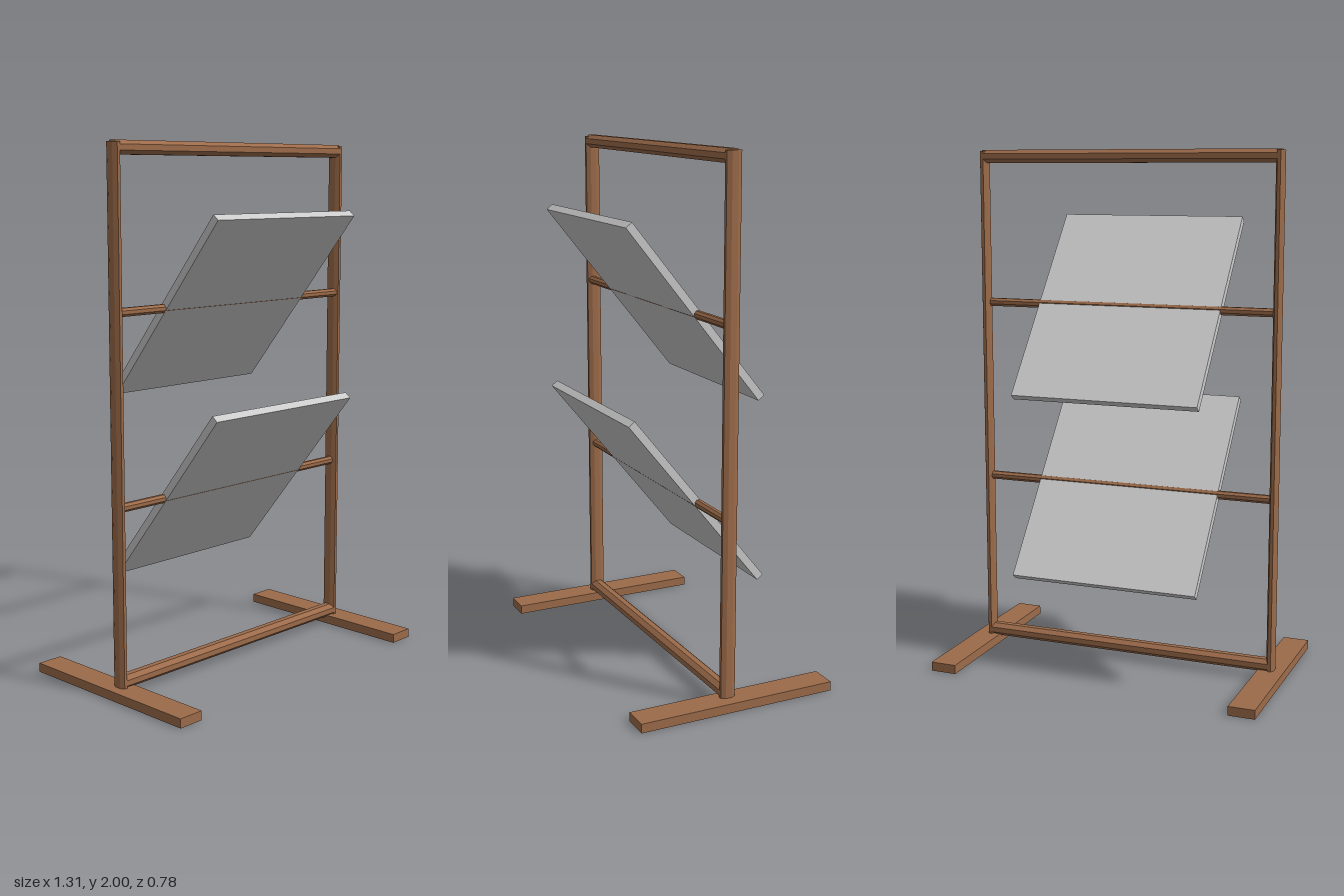
import * as THREE from 'three';

const wood = new THREE.MeshStandardMaterial({ color: 0x9c6b4a, flatShading: true });
const grey = new THREE.MeshStandardMaterial({ color: 0xcccccc, flatShading: true });

// Eight-sided bar along y with flats facing its axes, w by d across
function bar(w, length, d) {
  const r = 0.5 / Math.cos(Math.PI / 8);
  return new THREE.CylinderGeometry(r, r, 1, 8).rotateY(Math.PI / 8).scale(w, length, d);
}

export function createModel() {
  const model = new THREE.Group();
  const add = (name, geometry, material, x, y, z) => {
    const mesh = new THREE.Mesh(geometry, material);
    mesh.name = name;
    mesh.position.set(x, y, z);
    model.add(mesh);
    return mesh;
  };

  const frameZ = 0.018;
  const postX = { left: 0.592, right: -0.598 };
  const middle = (postX.left + postX.right) / 2;
  const span = postX.left - postX.right;

  // Feet and upright posts
  for (const side of ['left', 'right']) {
    const sign = side === 'left' ? 1 : -1;
    add(side + 'Foot', new THREE.BoxGeometry(0.102, 0.035, 0.78), wood, sign * 0.602, 0.0175, 0);
    add(side + 'Post', bar(0.03, 1.965, 0.057), wood, postX[side], 1.0125, frameZ);
  }

  // Top and bottom rails
  for (const [name, y] of [['topRail', 1.975], ['bottomRail', 0.053]]) {
    add(name, bar(0.05, span + 0.01, 0.057).rotateZ(Math.PI / 2), wood, middle, y, frameZ);
  }

  // Tilted panels, each carried on a thin crossbar
  for (const [name, y, z] of [['upper', 1.407, 0.027], ['lower', 0.704, 0.02]]) {
    add(name + 'Crossbar', bar(0.031, span, 0.031).rotateZ(Math.PI / 2), wood, middle, y, z - 0.001);
    const panel = add(name + 'Panel', new THREE.BoxGeometry(0.74, 0.85, 0.03), grey, -0.009, y, z);
    panel.rotation.x = 0.68;
  }

  return model;
}
